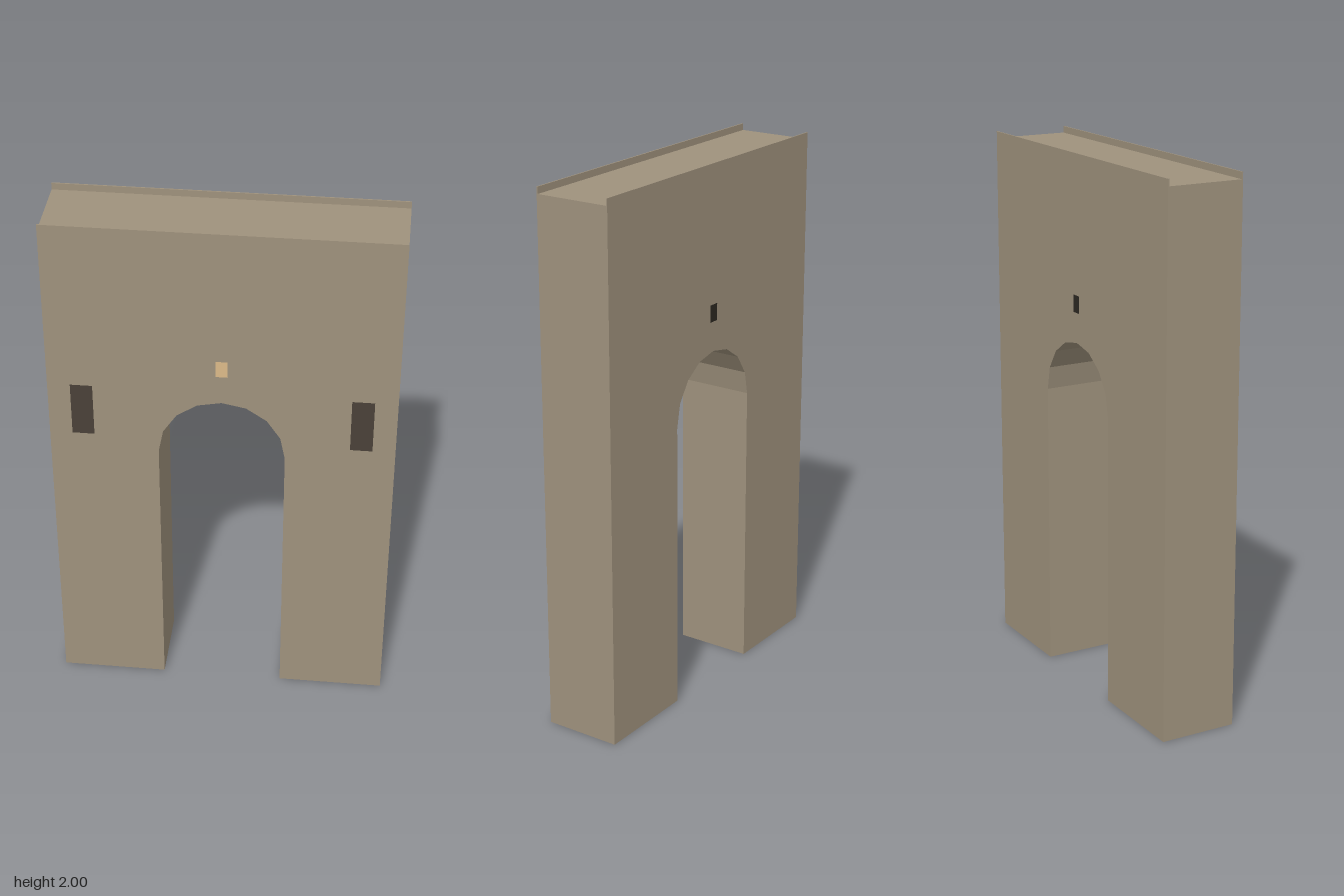
import * as THREE from 'three';

const W = 0.622, D = 0.145, TOP = 2, ROOF = 1.975; // half width, half depth, heights
const R = 0.228, SPRING = 1.087, T = 0.005; // arch radius, spring line, panel thickness

const stone = new THREE.MeshStandardMaterial({ color: 0x9f927d, side: THREE.DoubleSide, flatShading: true });
const dark = new THREE.MeshStandardMaterial({ color: 0x4a4138 });
const black = new THREE.MeshStandardMaterial({ color: 0x2c2822 });
const lamp = new THREE.MeshStandardMaterial({ color: 0xdcba88 });

// Arch outline from the right foot, over the crown, to the left foot
function archPoints() {
  const pts = [[R, 0]];
  for (let i = 0; i <= 8; i++) {
    const a = (i / 8) * Math.PI;
    pts.push([R * Math.cos(a), SPRING + R * Math.sin(a)]);
  }
  pts.push([-R, 0]);
  return pts;
}

// Open sheet: a polyline in x,y swept through the depth
function sheet(name, pts) {
  const pos = [], idx = [];
  pts.forEach(([x, y], i) => {
    pos.push(x, y, D - T, x, y, -D + T);
    if (i > 0) {
      const a = 2 * i - 2;
      idx.push(a, a + 1, a + 2, a + 1, a + 3, a + 2);
    }
  });
  const indexed = new THREE.BufferGeometry();
  indexed.setAttribute('position', new THREE.Float32BufferAttribute(pos, 3));
  indexed.setIndex(idx);
  const geo = indexed.toNonIndexed();
  geo.computeVertexNormals();
  const mesh = new THREE.Mesh(geo, stone);
  mesh.name = name;
  return mesh;
}

// Thin wall panel with the archway cut out
function panel(name, z) {
  const outline = [[-W, 0], [-W, TOP], [W, TOP], [W, 0], ...archPoints()];
  const shape = new THREE.Shape(outline.map(([x, y]) => new THREE.Vector2(x, y)));
  const mesh = new THREE.Mesh(new THREE.ExtrudeGeometry(shape, { depth: T, bevelEnabled: false }), stone);
  mesh.name = name;
  mesh.position.z = z;
  return mesh;
}

// Flat inset plate lying on a wall
function plate(name, w, h, x, y, back, material) {
  const mesh = new THREE.Mesh(new THREE.PlaneGeometry(w, h), material);
  mesh.name = name;
  mesh.position.set(x, y, back ? -D - 0.001 : D + 0.001);
  if (back) mesh.rotation.y = Math.PI;
  return mesh;
}

export function createModel() {
  const group = new THREE.Group();
  group.name = 'archedGateway';

  // Hollow shell, open underneath; the panels rise past the roof as a rim
  group.add(panel('frontWall', D - T), panel('backWall', -D));
  group.add(sheet('sideWallsAndRoof', [[W, 0], [W, ROOF], [-W, ROOF], [-W, 0]]));
  group.add(sheet('archPassage', archPoints().reverse()));

  // Windows beside the arch, and the small plates above it
  for (const s of [-1, 1]) {
    group.add(plate(s > 0 ? 'leftWindow' : 'rightWindow', 0.08, 0.21, s * 0.5, 1.25, false, dark));
  }
  group.add(plate('frontLamp', 0.042, 0.064, 0, 1.458, false, lamp));
  group.add(plate('backSlot', 0.042, 0.064, 0, 1.458, true, black));
  return group;
}
